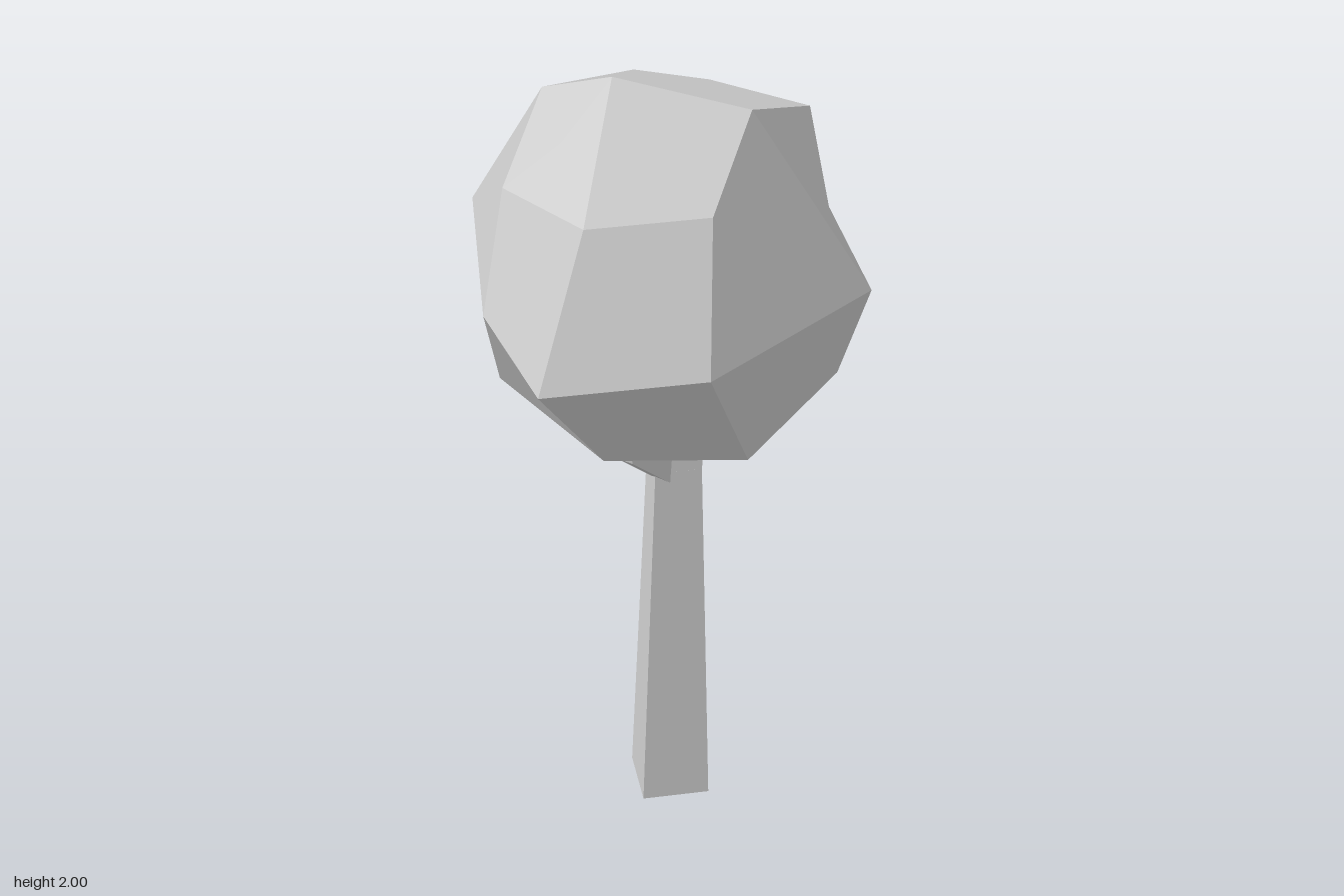
import * as THREE from 'three';

const V = (x, y, z) => new THREE.Vector3(x, y, z);

function toGeometry(position, normal) {
  const g = new THREE.BufferGeometry();
  g.setAttribute('position', new THREE.Float32BufferAttribute(position, 3));
  if (normal) g.setAttribute('normal', new THREE.Float32BufferAttribute(normal, 3));
  else g.computeVertexNormals();
  return g;
}

// Four-sided limb along a path of [x, y, z, radius]; spin turns its cross-section about the path
function limbGeometry(path, spin) {
  const pts = path.map(p => V(p[0], p[1], p[2]));
  const rings = pts.map((p, i) => {
    const t = pts[Math.min(i + 1, pts.length - 1)].clone().sub(pts[Math.max(i - 1, 0)]).normalize();
    if (i === 0 && t.y > 0.95) t.set(0, 1, 0); // flat foot
    const u = V(1, 0, 0).addScaledVector(t, -t.x).normalize();
    const v = t.clone().cross(u);
    return [0, 1, 2, 3].map(k => {
      const a = spin + k * Math.PI / 2;
      return p.clone().addScaledVector(u, Math.cos(a) * path[i][3]).addScaledVector(v, Math.sin(a) * path[i][3]);
    });
  });
  const out = [];
  const quad = (a, b, c, d) => [a, b, c, a, c, d].forEach(p => out.push(p.x, p.y, p.z));
  for (let i = 0; i < rings.length - 1; i++) {
    for (let k = 0; k < 4; k++) {
      const n = (k + 1) % 4;
      quad(rings[i][k], rings[i][n], rings[i + 1][n], rings[i + 1][k]);
    }
  }
  const first = rings[0], last = rings[rings.length - 1];
  quad(first[3], first[2], first[1], first[0]);
  quad(last[0], last[1], last[2], last[3]);
  return toGeometry(out);
}

// Crown of many-sided facets, each shaded with one flat normal
function crownGeometry() {
  const points = list => list.map(p => V(...p));
  const peak = V(-0.04, 2, 0.072);
  const rim = points([
    [-0.266, 1.91, 0.044], [-0.15, 1.797, 0.354], [0.13, 1.797, 0.422], [0.358, 1.82, 0.245],
    [0.225, 1.915, -0.119], [0.18, 1.793, -0.457], [-0.137, 1.775, -0.487], [-0.325, 1.78, -0.42],
  ]);
  const belt = points([
    [-0.518, 1.537, 0.014], [-0.143, 1.507, 0.45], [0.157, 1.474, 0.637], [0.446, 1.49, 0.378],
    [0.518, 1.49, -0.208], [0.225, 1.446, -0.518], [-0.215, 1.458, -0.644], [-0.395, 1.49, -0.555],
  ]);
  const low = points([
    [-0.434, 1.225, -0.18], [-0.22, 1.245, 0.3], [0.165, 1.195, 0.402], [0.466, 1.225, 0.245],
    [0.42, 1.22, -0.233], [0.22, 1.238, -0.518], [-0.16, 1.24, -0.603], [-0.345, 1.235, -0.525],
  ]);
  const position = [], normal = [];

  // Facet fanned around a hub: a corner, an inner point, or its middle by default
  const facet = (ring, hub) => {
    if (!hub) {
      hub = V(0, 0, 0);
      ring.forEach(p => hub.addScaledVector(p, 1 / ring.length));
    }
    const n = V(0, 0, 0), tris = [];
    ring.forEach((a, i) => {
      const b = ring[(i + 1) % ring.length];
      if (a === hub || b === hub) return;
      n.add(a.clone().sub(hub).cross(b.clone().sub(hub)));
      tris.push(hub, a, b);
    });
    n.normalize();
    tris.forEach(p => {
      position.push(p.x, p.y, p.z);
      normal.push(n.x, n.y, n.z);
    });
  };

  facet([peak, rim[4], rim[5], rim[6], rim[7], rim[0]], peak);
  facet([peak, rim[0], rim[1], rim[2]]);
  facet([rim[4], peak, rim[2], rim[3]], rim[4]);
  for (let i = 0; i < 8; i++) {
    const j = (i + 1) % 8;
    facet([rim[i], belt[i], belt[j], rim[j]]);
    facet([belt[i], low[i], low[j], belt[j]]);
  }
  facet([...low].reverse(), V(0, 1.18, -0.222));
  return toGeometry(position, normal);
}

export function createModel() {
  const tree = new THREE.Group();
  tree.name = 'tree';
  const grey = new THREE.MeshStandardMaterial({ color: 0xcccccc });
  grey.name = 'light grey';
  const add = (name, geometry) => {
    const mesh = new THREE.Mesh(geometry, grey);
    mesh.name = name;
    tree.add(mesh);
  };

  // Trunk, square and turned on its corner, narrowing into a short stem
  add('trunk', limbGeometry([[0.12, 0, 0.05, 0.125], [0.095, 0.97, 0.003, 0.084]], 0));
  add('stem', limbGeometry(
    [[0.095, 0.97, 0.003, 0.084], [0.107, 1.13, -0.015, 0.07], [0.108, 1.24, -0.03, 0.056]], 0));

  // Two bent branches reaching into the crown
  const square = Math.PI / 4;
  add('frontBranch', limbGeometry(
    [[0.095, 0.965, 0.045, 0.04], [0.095, 1.092, 0.2, 0.036], [0.095, 1.235, 0.225, 0.034]], square));
  add('backBranch', limbGeometry(
    [[0.095, 0.96, -0.045, 0.04], [0.095, 1.055, -0.25, 0.036], [0.095, 1.235, -0.44, 0.034]], square));

  add('crown', crownGeometry());
  return tree;
}
